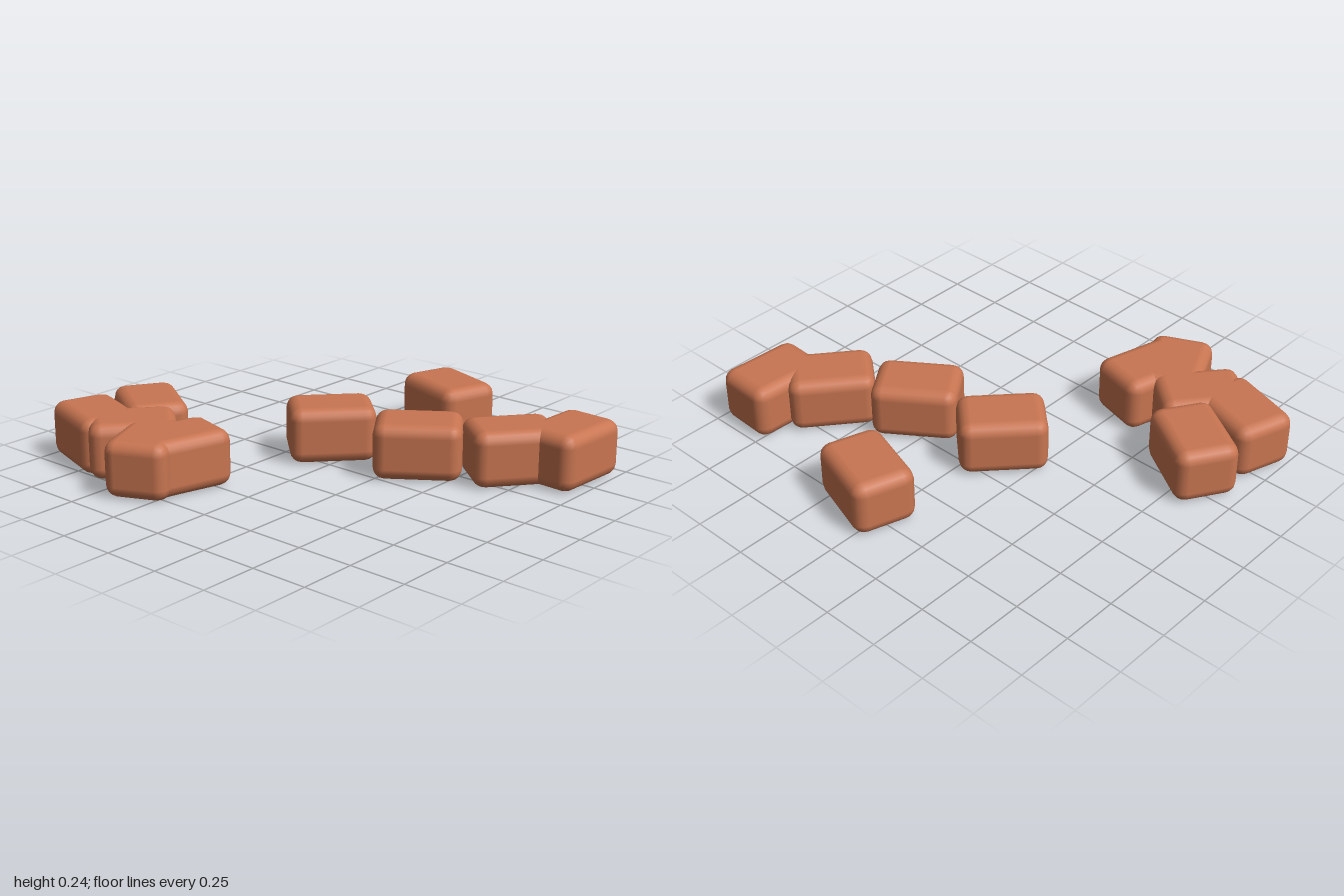
import * as THREE from 'three';
import { RoundedBoxGeometry } from 'three/addons/geometries/RoundedBoxGeometry.js';

// Each brick: centre x, centre z, turn in degrees
const BRICKS = [
  // clustered pile
  [-0.60, -0.79, 72],
  [-0.328, -0.747, 58],
  [-0.58, -0.587, -40],
  [-0.673, -0.385, 25],
  [-0.583, -0.311, -15],
  // trailing line
  [0.108, -0.085, -43],
  [0.177, 0.338, -55],
  [0.375, 0.668, -39],
  [0.536, 0.847, -3],
  // stray brick
  [0.707, 0.095, 72],
];

export function createModel() {
  const model = new THREE.Group();
  model.name = 'scatteredBricks';

  const clay = new THREE.MeshStandardMaterial({ color: 0xc87551 });
  clay.name = 'brickClay';

  // One soft-edged brick shared by all
  const length = 0.372, height = 0.243, width = 0.272;
  const geometry = new RoundedBoxGeometry(length, height, width, 2, 0.052);

  BRICKS.forEach(([x, z, turn], i) => {
    const brick = new THREE.Mesh(geometry, clay);
    brick.name = `brick${i + 1}`;
    brick.position.set(x, height / 2, z);
    brick.rotation.y = THREE.MathUtils.degToRad(turn);
    model.add(brick);
  });

  return model;
}
